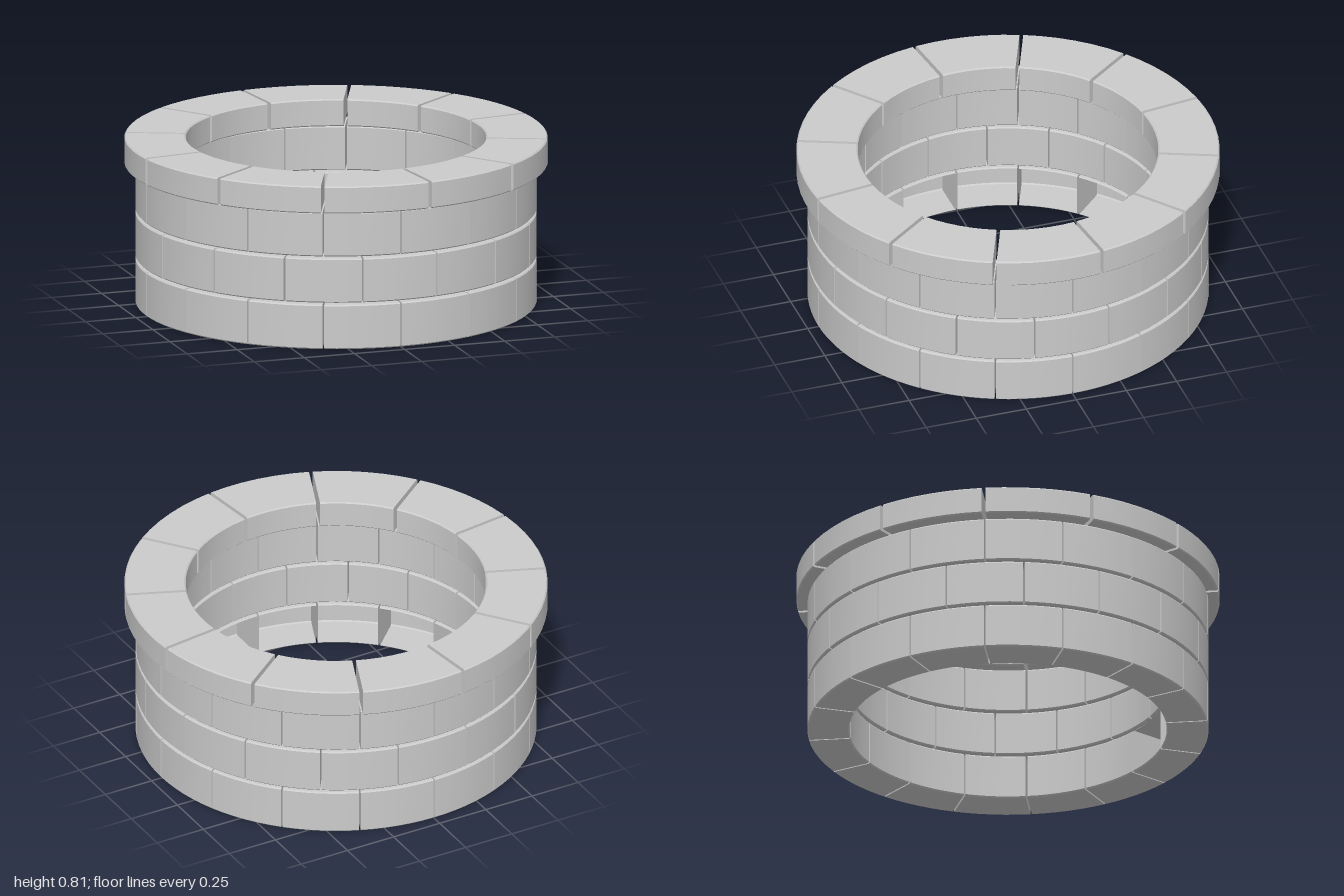
import * as THREE from 'three';
import { toCreasedNormals } from 'three/addons/utils/BufferGeometryUtils.js';

const DEG = Math.PI / 180;
const SEGMENTS = 6;
const CHAMFER = 0.006;

// Curved block: a chamfered rectangle swept from angle a0 to a1 (from +z towards +x).
// The ends are inset by half a joint, so joints have parallel sides.
function blockGeometry({ inner, outer, y0, y1, gap }, a0, a1, open) {
  const c = CHAMFER;
  const profile = [
    [inner + c, y0], [outer - c, y0], [outer, y0 + c], [outer, y1 - c],
    [outer - c, y1], [inner + c, y1], [inner, y1 - c], [inner, y0 + c],
  ];
  const n = profile.length;
  const point = (k, s) => {
    const [r, y] = profile[k % n];
    const inset = gap / 2 / r;
    const a = THREE.MathUtils.lerp(a0 + inset, a1 - inset, s / SEGMENTS);
    return [r * Math.sin(a), y, r * Math.cos(a)];
  };
  const positions = [];
  const triangle = (p, q, r) => positions.push(...p, ...q, ...r);

  for (let k = 0; k < n; k++) {
    if (open && k === 6) continue; // hollow block: no inner face
    for (let s = 0; s < SEGMENTS; s++) {
      const a = point(k, s), b = point(k, s + 1);
      const d = point(k + 1, s), e = point(k + 1, s + 1);
      triangle(a, b, e);
      triangle(a, e, d);
    }
  }
  // End faces
  for (let k = 1; k < n - 1; k++) {
    triangle(point(0, 0), point(k, 0), point(k + 1, 0));
    triangle(point(0, SEGMENTS), point(k + 1, SEGMENTS), point(k, SEGMENTS));
  }
  const geometry = new THREE.BufferGeometry();
  geometry.setAttribute('position', new THREE.Float32BufferAttribute(positions, 3));
  return toCreasedNormals(geometry, 25 * DEG);
}

export function createModel() {
  const model = new THREE.Group();
  model.name = 'stoneRing';
  const stone = new THREE.MeshStandardMaterial({ color: 0xcccccc });
  const hollowStone = new THREE.MeshStandardMaterial({ color: 0xcccccc, side: THREE.DoubleSide });

  // Three staggered wall courses and an overhanging cap
  const wall = { inner: 0.75, outer: 0.948, count: 16, gap: 0.008 };
  const courses = [
    { ...wall, name: 'bottomCourse', y0: 0, y1: 0.216, start: 0, isOpen: (i) => i === 0 || i >= 8 },
    { ...wall, name: 'middleCourse', y0: 0.226, y1: 0.441, start: 11.25 },
    { ...wall, name: 'upperCourse', y0: 0.451, y1: 0.665, start: 0 },
    { name: 'capCourse', inner: 0.71, outer: 1, y0: 0.673, y1: 0.805, count: 12, gap: 0.018, start: 7.5 },
  ];

  for (const course of courses) {
    const ring = new THREE.Group();
    ring.name = course.name;
    const step = 360 / course.count;
    for (let i = 0; i < course.count; i++) {
      const a0 = (course.start + i * step) * DEG;
      const open = course.isOpen ? course.isOpen(i) : false;
      const block = new THREE.Mesh(
        blockGeometry(course, a0, a0 + step * DEG, open),
        open ? hollowStone : stone,
      );
      block.name = course.name === 'capCourse' ? 'capStone' : 'wallStone';
      ring.add(block);
    }
    model.add(ring);
  }
  return model;
}
